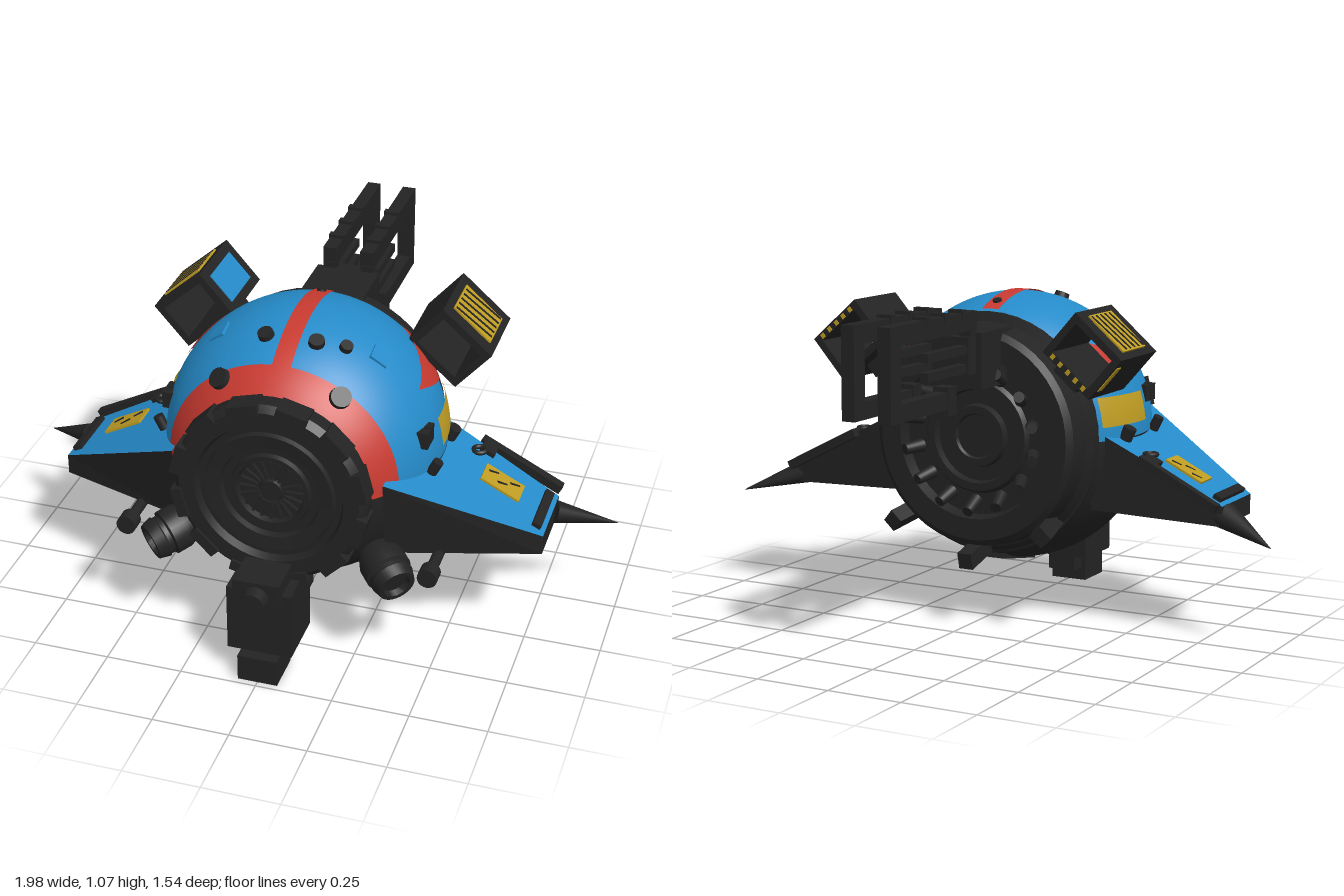
import * as THREE from 'three';
import { toCreasedNormals } from 'three/addons/utils/BufferGeometryUtils.js';
import { ParametricGeometry } from 'three/addons/geometries/ParametricGeometry.js';

const paint = (name, color, side = THREE.FrontSide) =>
  Object.assign(new THREE.MeshStandardMaterial({ color, side }), { name });
const dark = paint('charcoal', 0x232323);
const blue = paint('blue', 0x258bc9);
const red = paint('red', 0xc83a30, THREE.DoubleSide);
const yellow = paint('yellow', 0xbd9b22, THREE.DoubleSide);

const CY = 0.62, CZ = 0.2, R = 0.45; // body sphere
const UP = new THREE.Vector3(0, 1, 0);
const sphereX = (y, z, r = R) => Math.sqrt(r * r - (y - CY) ** 2 - (z - CZ) ** 2);
const sphereY = (x, z, r = R) => CY + Math.sqrt(r * r - x * x - (z - CZ) ** 2);
const wingY = x => 0.67 - 0.51 * (x - 0.34);
const WING_TILT = -Math.atan(0.51);

function add(parent, name, geo, mat, x = 0, y = 0, z = 0, rz = 0) {
  const m = new THREE.Mesh(geo, mat);
  m.name = name;
  m.position.set(x, y, z);
  m.rotation.z = rz;
  parent.add(m);
  return m;
}
const box = (p, name, mat, w, h, d, x, y, z, rz = 0) =>
  add(p, name, new THREE.BoxGeometry(w, h, d), mat, x, y, z, rz);
// box from y and z limits, centred on x
const block = (p, name, w, x, y0, y1, z0, z1) =>
  box(p, name, dark, w, y1 - y0, z1 - z0, x, (y0 + y1) / 2, (z0 + z1) / 2);

// lathe about the z axis; points are [radius, z] with z rising
function lathe(p, name, mat, pts, phi = 0, len = Math.PI * 2, seg = 48, crease = 0.5) {
  const g = new THREE.LatheGeometry(pts.map(a => new THREE.Vector2(...a)), seg, phi, len).rotateX(Math.PI / 2);
  return add(p, name, toCreasedNormals(g, crease), mat, 0, CY, 0);
}
function ball(p, name, mat, z0, z1, phi, len) {
  const pts = [];
  for (let i = 0; i <= 20; i++) {
    const z = z0 + (z1 - z0) * i / 20;
    pts.push([Math.sqrt(R * R - (z - CZ) ** 2), z]);
  }
  return lathe(p, name, mat, pts, phi, len);
}
const patch = (p, name, mat, fn) =>
  add(p, name, new ParametricGeometry((u, v, t) => t.set(...fn(u, v)), 16, 16), mat);

// cylinder or lathe part pointing along a direction
function aim(p, name, geo, mat, pos, dir) {
  const m = add(p, name, geo, mat, ...pos);
  m.quaternion.setFromUnitVectors(UP, new THREE.Vector3(...dir).normalize());
  return m;
}
const rod = (p, name, r0, r1, len, pos, dir, mat = dark) =>
  aim(p, name, new THREE.CylinderGeometry(r1, r0, len, 20), mat, pos, dir);

function wing(p, s) {
  const c = [ // root and tip corners: front top, front bottom, back bottom, back top
    [0.34, 0.67, 0.52], [0.34, 0.40, 0.48], [0.36, 0.39, 0.02], [0.36, 0.66, 0.01],
    [0.8, 0.436, 0.3], [0.8, 0.37, 0.3], [0.8, 0.37, 0.06], [0.8, 0.436, 0.06]];
  const faces = [[0, 4, 7, 3], [1, 2, 6, 5], [0, 1, 5, 4], [3, 7, 6, 2], [4, 5, 6, 7]];
  const pos = [];
  for (const f of faces) {
    const o = s > 0 ? f : [...f].reverse();
    for (const k of [0, 1, 2, 0, 2, 3]) pos.push(c[o[k]][0] * s, c[o[k]][1], c[o[k]][2]);
  }
  const g = new THREE.BufferGeometry();
  g.setAttribute('position', new THREE.Float32BufferAttribute(pos, 3));
  g.computeVertexNormals();
  g.addGroup(0, 12, 0);
  g.addGroup(12, 18, 1);
  add(p, 'wing', g, [blue, dark]);

  // surface details and tip spike
  const onWing = (name, mat, w, h, d, x, z, lift = 0) =>
    box(p, name, mat, w, h, d, s * x, wingY(x) + lift, z, s * WING_TILT);
  onWing('wingPanel', yellow, 0.14, 0.016, 0.09, 0.635, 0.17);
  for (let i = 0; i < 3; i++)
    onWing('panelMark', dark, 0.035, 0.02, 0.008, 0.6 + i * 0.035, 0.15 + (i % 2) * 0.03).rotation.y = 0.5;
  onWing('wingSlot', dark, 0.03, 0.03, 0.2, 0.77, 0.18);
  onWing('trailingFlap', dark, 0.3, 0.03, 0.03, 0.665, 0.015);
  onWing('flapHinge', dark, 0.05, 0.03, 0.07, 0.56, 0.04);
  const ring = add(p, 'wingRing', new THREE.TorusGeometry(0.02, 0.008, 8, 20), dark, s * 0.54, wingY(0.54) + 0.01, 0.085);
  ring.rotation.set(Math.PI / 2, 0, 0);
  rod(p, 'wingStud', 0.017, 0.017, 0.06, [s * 0.45, wingY(0.45) + 0.02, 0.32], [s * 0.5, 1, 0]);
  rod(p, 'wingStud', 0.022, 0.022, 0.05, [s * 0.45, wingY(0.45) + 0.02, 0.1], [s * 0.5, 1, 0]);
  const spike = rod(p, 'wingSpike', 0.048, 0.001, 0.23, [s * 0.89, 0.367, 0.05], [s * 0.2, -0.07, -0.1]);
  spike.scale.x = 0.8;
}

function pod(p, s) {
  const g = new THREE.Group();
  g.name = 'sidePod';
  g.position.set(s * 0.425, 0.92, -0.06);
  g.rotation.z = -s * 0.72;
  p.add(g);
  // open square tube
  for (const k of [-1, 1]) {
    box(g, 'podWall', dark, 0.212, 0.024, 0.26, 0, k * 0.074, 0);
    box(g, 'podWall', dark, 0.024, 0.172, 0.26, k * 0.094, 0, 0);
  }
  box(g, 'podBracket', dark, 0.1, 0.07, 0.12, -s * 0.01, -0.1, 0);
  // coloured plates
  box(g, 'stripedPlate', yellow, 0.16, 0.008, 0.16, 0, 0.088, 0);
  for (let i = 0; i < 5; i++)
    box(g, 'plateStripe', dark, 0.15, 0.004, 0.008, 0, 0.092, -0.062 + i * 0.031).rotation.y = 0.12;
  if (s > 0) box(g, 'bluePlate', blue, 0.008, 0.11, 0.18, 0.105, 0, 0);
  else {
    box(g, 'bluePlate', blue, 0.008, 0.11, 0.18, 0.105, 0, 0);
    box(g, 'lowerPlate', yellow, 0.15, 0.008, 0.18, 0, -0.088, 0);
    box(g, 'outerEdge', yellow, 0.008, 0.1, 0.03, -0.105, 0, -0.1);
  }
  for (let i = 0; i < 5; i++)
    box(g, 'rearMark', yellow, 0.014, 0.016, 0.006, -0.07 + i * 0.035, s * 0.072, -0.13);
}

function side(p, s) {
  wing(p, s);
  pod(p, s);
  // painted arrow and stripe on the body flank
  patch(p, 'redArrow', red, (u, v) => {
    const z = 0.25 - 0.24 * u, y = 0.865 + (v - 0.5) * 0.17 * u;
    return [s * sphereX(y, z, R + 0.004), y, z];
  });
  patch(p, 'yellowBand', yellow, (u, v) => {
    const z = 0.23 * u, y = 0.665 + 0.095 * v;
    return [s * sphereX(y, z, R + 0.008), y, z];
  });
  for (const dz of [-0.02, 0.02]) box(p, 'flankVent', dark, 0.06, 0.055, 0.034, s * 0.405, 0.742, 0.312 + dz);
  const hatch = box(p, 'hatch', blue, 0.06, 0.012, 0.06, s * 0.26, sphereY(0.26, 0.28), 0.28, -s * 0.65);
  hatch.rotation.x = 0.2;
  // dome studs
  for (const [x, z, r] of [[0.08, 0.355, 0.027], [0.19, 0.47, 0.036]]) {
    const y = sphereY(x, z);
    rod(p, 'domeStud', r, r * 0.9, 0.035, [s * x, y, z], [s * x, y - CY, z - CZ]);
  }
  // front thruster
  const prof = [[0, -0.08], [0.06, -0.08], [0.075, -0.04], [0.075, 0.01], [0.065, 0.015], [0.065, 0.03],
    [0.07, 0.035], [0.06, 0.07], [0.045, 0.07], [0.04, 0.05], [0, 0.05]].map(a => new THREE.Vector2(...a));
  aim(p, 'frontThruster', toCreasedNormals(new THREE.LatheGeometry(prof, 28), 0.5), dark,
    [s * 0.36, 0.365, 0.52], [s * 0.6, -0.25, 0.65]);
  // gun below the wing
  rod(p, 'gunBarrel', 0.018, 0.018, 0.4, [s * 0.495, 0.382, 0.34], [0, 0, 1]);
  rod(p, 'gunMuzzle', 0.032, 0.032, 0.05, [s * 0.495, 0.382, 0.53], [0, 0, 1]);
  box(p, 'gunMount', dark, 0.05, 0.06, 0.1, s * 0.495, 0.405, 0.25);
}

function rearRails(p) {
  block(p, 'railBase', 0.21, 0, 0.8, 0.98, -0.25, -0.04);
  block(p, 'railBlock', 0.17, 0, 0.85, 0.97, -0.3, -0.25);
  for (const x of [-0.063, 0.063]) {
    block(p, 'upperRail', 0.045, x, 0.99, 1.05, -0.77, -0.245);
    block(p, 'railEnd', 0.045, x, 0.76, 1.05, -0.77, -0.71);
    block(p, 'lowerRail', 0.045, x, 0.76, 0.815, -0.71, -0.39);
    block(p, 'railFoot', 0.055, x, 0.74, 0.83, -0.435, -0.385);
    block(p, 'railLink', 0.04, x, 0.96, 1.0, -0.28, -0.24);
    for (const y of [0.872, 0.931]) block(p, 'innerRod', 0.03, x, y - 0.014, y + 0.014, -0.54, -0.28);
    for (const z of [-0.33, -0.44, -0.55]) block(p, 'railClip', 0.052, x, 1.03, 1.06, z - 0.012, z + 0.012);
  }
}

function chinTurret(p) {
  block(p, 'turretBody', 0.21, 0, 0.1, 0.33, 0.51, 0.705);
  block(p, 'turretHead', 0.15, 0, 0.29, 0.38, 0.52, 0.73);
  block(p, 'turretArm', 0.17, 0, 0.19, 0.36, 0.41, 0.51);
  block(p, 'turretFoot', 0.13, 0, 0, 0.09, 0.59, 0.73);
  block(p, 'turretNeck', 0.1, 0, 0.045, 0.11, 0.53, 0.66);
  rod(p, 'turretLens', 0.045, 0.038, 0.06, [0, 0.325, 0.74], [0, 0, 1]);
}

export function createModel() {
  const g = new THREE.Group();
  g.name = 'pod';
  const H = Math.PI / 2;
  ball(g, 'upperShell', blue, -0.02, 0.45, H, Math.PI);
  ball(g, 'frontBand', red, 0.45, 0.54, H, Math.PI);
  ball(g, 'lowerShell', dark, -0.05, 0.54, -H, Math.PI);
  patch(g, 'topStripe', red, (u, v) => {
    const x = (u - 0.5) * 0.06, z = 0.46 * v;
    return [x, sphereY(x, z, R + 0.004), z];
  });
  rod(g, 'domeStud', 0.022, 0.02, 0.035, [0.165, sphereY(0.165, 0.33), 0.33], [0.165, 0.4, 0.13]);
  rod(g, 'stripeStud', 0.015, 0.015, 0.02, [0, sphereY(0, 0.05), 0.05], [0, 0.42, -0.15]);

  // front hatch with stepped rings, lugs and a spoked hub
  lathe(g, 'frontHatch', dark, [[0.3, 0.5], [0.31, 0.53], [0.31, 0.58], [0.29, 0.6], [0.24, 0.6], [0.23, 0.575],
    [0.21, 0.575], [0.205, 0.59], [0.16, 0.585], [0.155, 0.565], [0.13, 0.565], [0.125, 0.58], [0.11, 0.58],
    [0.105, 0.56], [0.04, 0.56], [0.035, 0.575], [0, 0.575]]);
  for (let i = 0; i < 12; i++) {
    const a = (i + 0.5) * Math.PI / 6;
    box(g, 'hatchLug', dark, 0.035, 0.1, 0.075, 0.298 * Math.cos(a), CY + 0.298 * Math.sin(a), 0.572, a);
  }
  for (let i = 0; i < 20; i++) {
    const a = i * Math.PI / 10;
    box(g, 'hubSpoke', dark, 0.06, 0.01, 0.015, 0.072 * Math.cos(a), CY + 0.072 * Math.sin(a), 0.565, a);
  }

  // rear engine ring with a recessed dish and lugs
  lathe(g, 'rearRing', dark, [[0, -0.09], [0.07, -0.09], [0.075, -0.1], [0.1, -0.1], [0.105, -0.075], [0.15, -0.075],
    [0.155, -0.1], [0.18, -0.1], [0.19, -0.085], [0.26, -0.085], [0.27, -0.125], [0.34, -0.125], [0.36, -0.11],
    [0.37, -0.03], [0.4, -0.02], [0.4, 0.01]]);
  for (let i = 0; i < 14; i++) {
    const a = (i + 0.5) * Math.PI / 7;
    rod(g, 'rearLug', 0.022, 0.018, 0.07, [0.225 * Math.cos(a), CY + 0.225 * Math.sin(a), -0.125],
      [Math.cos(a) * 0.5, Math.sin(a) * 0.5, -1]);
  }
  // tail fins
  for (const t of [-0.75, 0, 0.75]) {
    const pivot = new THREE.Group();
    pivot.name = 'tailFin';
    pivot.position.y = CY;
    pivot.rotation.z = t;
    g.add(pivot);
    box(pivot, 'finBlade', dark, 0.05, 0.055, 0.14, 0, -0.385, -0.105).rotation.x = -0.25;
  }
  // belly keel
  box(g, 'bellyKeel', dark, 0.1, 0.02, 0.22, 0, 0.185, 0.12).rotation.x = 0.18;

  for (const s of [-1, 1]) side(g, s);
  rearRails(g);
  chinTurret(g);
  return g;
}
